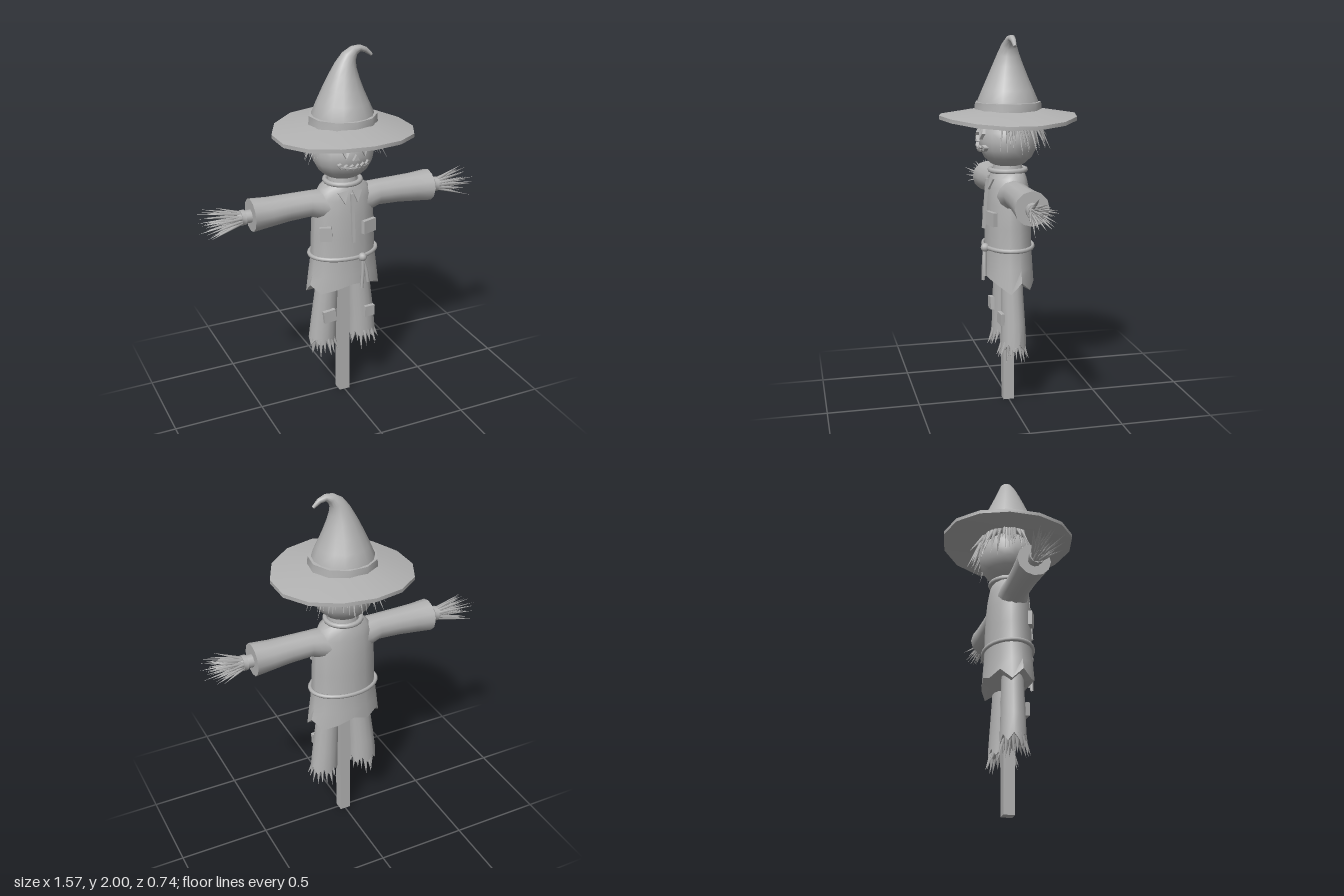
import * as THREE from 'three';
import { mergeGeometries, toCreasedNormals } from 'three/addons/utils/BufferGeometryUtils.js';

const V = (x, y, z) => new THREE.Vector3(x, y, z);
const cloth = new THREE.MeshStandardMaterial({ color: 0xb2b2b2 });
cloth.name = 'plain grey';
cloth.side = THREE.DoubleSide;

let seed = 7;
const rnd = (a = 0, b = 1) => {
  seed = (seed * 16807) % 2147483647;
  return a + (b - a) * (seed / 2147483647);
};

function add(parent, name, geo) {
  const m = new THREE.Mesh(geo, cloth);
  m.name = name;
  parent.add(m);
  return m;
}

// Skin over elliptical rings { c, u, v }, u x v pointing along the sweep; bend may move a point
function loft(rings, n, bend = () => {}) {
  const pos = [], idx = [], last = rings.length - 1;
  rings.forEach((r, i) => {
    for (let j = 0; j < n; j++) {
      const a = (j / n) * Math.PI * 2;
      const p = r.c.clone().addScaledVector(r.u, Math.cos(a)).addScaledVector(r.v, Math.sin(a));
      bend(p, i, j);
      pos.push(p.x, p.y, p.z);
    }
  });
  const s = pos.length / 3;
  pos.push(...rings[0].c.toArray(), ...rings[last].c.toArray());
  for (let j = 0; j < n; j++) {
    const k = (j + 1) % n;
    for (let i = 0; i < last; i++) {
      const a = i * n + j, b = i * n + k;
      idx.push(a, b, b + n, a, b + n, a + n);
    }
    idx.push(s, k, j, s + 1, last * n + j, last * n + k);
  }
  const g = new THREE.BufferGeometry();
  g.setAttribute('position', new THREE.Float32BufferAttribute(pos, 3));
  g.setIndex(idx);
  return toCreasedNormals(g, 0.75);
}

// Upright ring and sideways ring
const flat = (x, y, z, rx, rz) => ({ c: V(x, y, z), u: V(0, 0, rz), v: V(rx, 0, 0) });
const side = (x, y, r) => ({ c: V(x, y, 0), u: V(0, r, 0), v: V(0, 0, r) });

// Pointed straw running from a to b
function straw(a, b, r) {
  const d = b.clone().sub(a), g = new THREE.ConeGeometry(r, d.length(), 5);
  g.applyQuaternion(new THREE.Quaternion().setFromUnitVectors(V(0, 1, 0), d.normalize()));
  const m = a.clone().add(b).multiplyScalar(0.5);
  return g.translate(m.x, m.y, m.z);
}

function shapeOf(points) {
  return new THREE.Shape(points.map(([x, y]) => new THREE.Vector2(x, y)));
}

// Face piece pressed onto the front of the head
const HEAD = { y: 1.455, rx: 0.167, ry: 0.152, rz: 0.158 };
function facePiece(parent, name, points) {
  const g = new THREE.ExtrudeGeometry(shapeOf(points), { depth: 0.025, bevelEnabled: false });
  const p = g.attributes.position;
  for (let i = 0; i < p.count; i++) {
    const q = 1 - (p.getX(i) / HEAD.rx) ** 2 - ((p.getY(i) - HEAD.y) / HEAD.ry) ** 2;
    p.setZ(i, p.getZ(i) - 0.009 + HEAD.rz * Math.sqrt(Math.max(q, 0)));
  }
  g.computeVertexNormals();
  add(parent, name, g);
}

function patch(parent, name, w, h, p, ry, rz) {
  const m = add(parent, name, new THREE.BoxGeometry(w, h, 0.022));
  m.position.set(...p);
  m.rotation.set(0, ry, rz);
}

function makeHat(root) {
  const hat = new THREE.Group();
  hat.name = 'hat';
  root.add(hat);
  // Brim: fourteen sides, drooping to left and right
  const droop = (p) => { p.y -= 0.028 * (p.x / 0.375) ** 2; };
  add(hat, 'brim', loft([
    flat(0, 1.59, 0, 0.15, 0.15), flat(0.004, 1.57, 0, 0.375, 0.368),
    flat(0.004, 1.59, 0, 0.375, 0.368), flat(0, 1.622, 0, 0.16, 0.16),
  ], 14, droop).rotateY(0));
  add(hat, 'hatBand', loft([
    flat(0, 1.605, 0, 0.184, 0.18), flat(0, 1.655, 0, 0.18, 0.176), flat(0, 1.658, 0, 0.15, 0.15),
  ], 11));
  // Crown with the tip curling over to the left
  const spine = [[0, 1.62, 0.168], [0, 1.665, 0.161], [0, 1.72, 0.137], [0.002, 1.785, 0.108],
    [0.008, 1.85, 0.08], [0.018, 1.905, 0.057], [0.036, 1.948, 0.04], [0.064, 1.975, 0.027],
    [0.095, 1.984, 0.018], [0.128, 1.973, 0.014], [0.162, 1.945, 0.008]];
  add(hat, 'crown', loft(spine.map(([x, y, r], i) => {
    const a = spine[Math.max(i - 1, 0)], b = spine[Math.min(i + 1, spine.length - 1)];
    const t = V(b[0] - a[0], b[1] - a[1], 0).normalize();
    return { c: V(x, y, 0), u: V(0, 0, r), v: V(t.y, -t.x, 0).multiplyScalar(r) };
  }), 16));
}

function makeHead(root) {
  const head = new THREE.Group();
  head.name = 'head';
  root.add(head);
  const skull = add(head, 'skull', new THREE.SphereGeometry(1, 16, 10));
  skull.scale.set(HEAD.rx, HEAD.ry, HEAD.rz);
  skull.position.y = HEAD.y;
  for (const s of [-1, 1]) {
    const x = s * 0.053;
    facePiece(head, 'eye', [[x, 1.465], [x + 0.017, 1.495], [x - s * 0.005, 1.535], [x - 0.017, 1.5]]);
  }
  facePiece(head, 'nose', [[-0.018, 1.452], [0.018, 1.452], [0.002, 1.482]]);
  // Jagged stitched mouth
  const top = [], low = [];
  for (let i = 0; i <= 12; i++) {
    const x = -0.09 + i * 0.015, y = 1.412 + 1.6 * x * x, tooth = i % 2 ? 0.017 : 0.003;
    top.push([x, y + tooth]);
    low.unshift([x, y - tooth]);
  }
  facePiece(head, 'mouth', [...low.reverse(), ...top.reverse()]);
  // Straw hair around the sides and back
  const hair = [];
  for (let i = 0; i < 46; i++) {
    const a = -0.35 + (i / 45) * (Math.PI + 0.7) + rnd(-0.05, 0.05);
    const cx = Math.cos(a), cz = -Math.sin(a), r = rnd(0.175, 0.24);
    hair.push(straw(V(cx * 0.15, 1.575, cz * 0.145), V(cx * r, rnd(1.385, 1.47), cz * r), rnd(0.008, 0.013)));
  }
  add(head, 'hair', mergeGeometries(hair));
}

function makeShirt(root) {
  const shirt = new THREE.Group();
  shirt.name = 'shirt';
  root.add(shirt);
  const hem = [0.045, 0.035, 0.01, -0.03, 0.03, -0.02, 0.01, 0.045, 0.01, 0.035, -0.025, 0.035, -0.005, 0.02];
  add(shirt, 'torso', loft([
    flat(0, 0.685, 0, 0.212, 0.135), flat(0, 0.78, 0, 0.197, 0.13), flat(0, 0.88, 0, 0.183, 0.124),
    flat(0, 1.0, 0, 0.18, 0.122), flat(0, 1.12, 0, 0.174, 0.117), flat(0, 1.21, 0, 0.162, 0.108),
    flat(0, 1.26, 0, 0.138, 0.098), flat(0, 1.29, 0, 0.1, 0.085),
  ], 14, (p, i, j) => { if (i === 0) p.y += hem[j]; }));
  const collar = add(shirt, 'neckband', new THREE.TorusGeometry(0.095, 0.014, 8, 20).rotateX(Math.PI / 2));
  collar.position.y = 1.295;
  add(shirt, 'neck', new THREE.CylinderGeometry(0.075, 0.085, 0.06, 14)).position.y = 1.31;
  // Collar points and front opening
  for (const s of [-1, 1]) {
    const flap = add(shirt, 'collarFlap', new THREE.ExtrudeGeometry(
      shapeOf([[s * 0.008, 0.07], [s * 0.068, 0.062], [s * 0.035, 0]]), { depth: 0.014, bevelEnabled: false }));
    flap.position.set(0, 1.195, 0.108);
    flap.rotation.set(-0.3, s * 0.12, 0);
  }
  const placket = add(shirt, 'placket', new THREE.BoxGeometry(0.016, 0.27, 0.018));
  placket.position.set(0.003, 1.115, 0.123);
  placket.rotation.x = -0.08;
  patch(shirt, 'shirtPatch', 0.065, 0.078, [-0.138, 1.035, 0.092], -0.45, 0.06);
  patch(shirt, 'shirtPatch', 0.085, 0.073, [0.103, 1.05, 0.112], 0.3, 0);
}

function makeArm(root, s) {
  const arm = new THREE.Group();
  arm.name = s > 0 ? 'leftArm' : 'rightArm';
  arm.rotation.y = s > 0 ? 0 : Math.PI;
  root.add(arm);
  add(arm, 'sleeve', loft([
    side(0.09, 1.165, 0.085), side(0.14, 1.175, 0.08), side(0.2, 1.187, 0.07), side(0.32, 1.185, 0.073),
    side(0.42, 1.18, 0.079), side(0.52, 1.178, 0.088),
  ], 12));
  add(arm, 'wrist', loft([side(0.5, 1.175, 0.036), side(0.6, 1.172, 0.033)], 10));
  add(arm, 'wristTie', loft([side(0.552, 1.173, 0.041), side(0.575, 1.173, 0.041)], 10));
  // Straw fingers
  const straws = [];
  for (let i = 0; i < 34; i++) {
    const a = i * 2.4, k = Math.sqrt((i + 0.5) / 34), r = k * 0.028, e = k * rnd(0.07, 0.1);
    straws.push(straw(V(0.575, 1.172 + r * Math.sin(a), r * Math.cos(a)),
      V(rnd(0.7, 0.79), 1.17 + e * Math.sin(a), e * Math.cos(a)), rnd(0.008, 0.012)));
  }
  add(arm, 'strawHand', mergeGeometries(straws));
}

function makeLeg(root, s) {
  const leg = new THREE.Group();
  leg.name = s > 0 ? 'leftLeg' : 'rightLeg';
  root.add(leg);
  // Trouser leg with a torn hem
  add(leg, 'trouser', loft([
    flat(s * 0.123, 0.355, -0.004, 0.079, 0.069), flat(s * 0.115, 0.48, -0.003, 0.074, 0.065),
    flat(s * 0.1, 0.65, 0, 0.066, 0.06), flat(s * 0.09, 0.8, 0, 0.062, 0.058),
  ], 14, (p, i, j) => { if (i === 0) p.y += j % 2 ? -0.022 : 0.018; }));
  const straws = [];
  for (let i = 0; i < 18; i++) {
    const a = (i / 18) * Math.PI * 2, r = rnd(0.7, 1.25);
    straws.push(straw(V(s * 0.123 + 0.06 * Math.cos(a), 0.375, 0.052 * Math.sin(a)),
      V(s * 0.126 + 0.078 * r * Math.cos(a), rnd(0.25, 0.31), 0.08 * r * Math.sin(a)), rnd(0.011, 0.016)));
  }
  add(leg, 'ankleStraw', mergeGeometries(straws));
}

export function createModel() {
  const root = new THREE.Group();
  root.name = 'scarecrow';
  add(root, 'post', new THREE.BoxGeometry(0.06, 1.2, 0.06)).position.y = 0.6;
  makeHat(root);
  makeHead(root);
  makeShirt(root);
  for (const s of [-1, 1]) {
    makeArm(root, s);
    makeLeg(root, s);
  }
  patch(root, 'kneePatch', 0.07, 0.07, [-0.11, 0.527, 0.068], 0, 0.1);
  patch(root, 'kneePatch', 0.062, 0.062, [0.132, 0.508, 0.068], 0.1, -0.04);
  // Rope belt with knot and two hanging ends
  const belt = add(root, 'belt', new THREE.TorusGeometry(0.19, 0.012, 8, 28).rotateX(Math.PI / 2));
  belt.scale.z = 0.7;
  belt.position.y = 0.885;
  const knot = add(root, 'beltKnot', new THREE.SphereGeometry(0.024, 10, 8));
  knot.position.set(0.055, 0.885, 0.137);
  for (const [x, y] of [[0.048, 0.705], [0.084, 0.735]]) {
    const path = new THREE.CatmullRomCurve3([V(0.055, 0.88, 0.14), V(x * 0.6 + 0.025, 0.8, 0.145), V(x, y, 0.146)]);
    add(root, 'ropeEnd', new THREE.TubeGeometry(path, 8, 0.01, 7));
  }
  return root;
}
